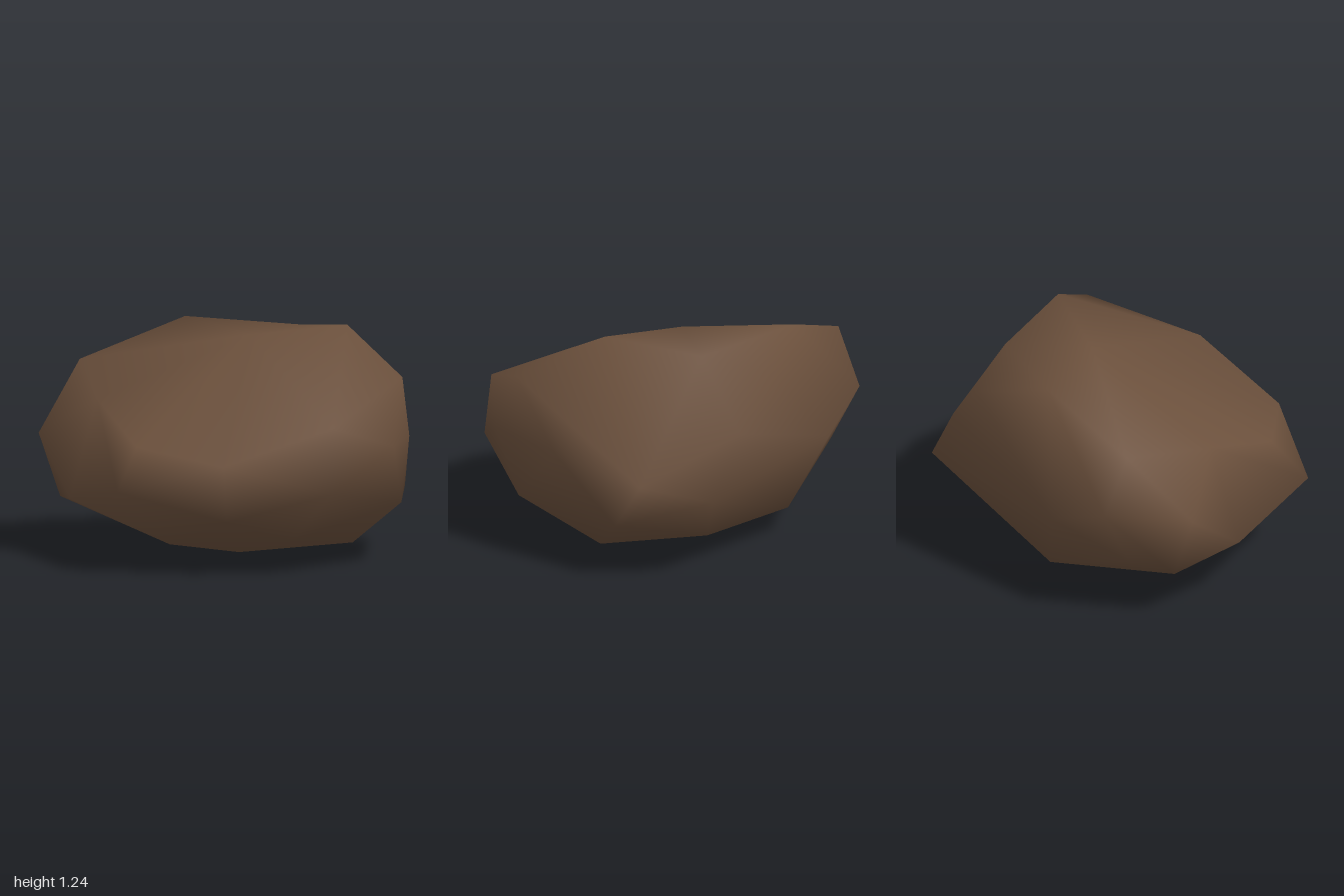
import * as THREE from 'three';
import { ConvexGeometry } from 'three/addons/geometries/ConvexGeometry.js';
import { mergeVertices } from 'three/addons/utils/BufferGeometryUtils.js';

// Corners of the boulder, from the base up
const base = [
  [0.04, 0, -0.06], [0.51, 0.06, 0.33], [-0.57, 0.12, 0.16],
  [-0.04, 0.14, 0.54], [0.12, 0.15, -0.65], [0.58, 0.15, -0.25],
];
const lowerRing = [
  [0.52, 0.33, 0.77], [0.93, 0.32, 0.22], [-0.56, 0.30, 0.68],
  [-0.86, 0.33, -0.36], [-0.42, 0.35, -0.84], [-0.65, 0.28, -0.75],
];
const girth = [
  [-0.10, 0.45, 1.0], [0.38, 0.66, 0.90], [0.72, 0.65, 0.56],
  [0.98, 0.56, 0.08], [0.96, 0.48, -0.31], [0.02, 0.53, -0.865],
  [-0.35, 0.68, -1.0], [-0.77, 0.63, -0.78], [-0.99, 0.45, 0.27],
  [-0.62, 0.61, 0.73],
];
const crown = [
  [-0.06, 0.80, 0.96], [0.52, 1.01, 0.78], [0.78, 0.81, -0.44],
  [0.56, 1.07, -0.62], [0.57, 1.17, -0.22], [0.49, 1.24, 0.31],
  [0.12, 1.17, -0.08], [0.12, 1.20, -0.68], [-0.43, 0.99, -0.88],
  [-0.69, 0.86, -0.35], [-0.81, 0.67, 0.19],
];
const centre = new THREE.Vector3(0, 0.62, 0);

// Skin the corners in a rounder space, then move them back,
// which leaves the shallow dip between the two top corners
function rockSkin(points) {
  const rounded = points.map((p) => {
    const v = new THREE.Vector3(...p).sub(centre);
    return v.divideScalar(Math.sqrt(v.length()));
  });
  let skin = new ConvexGeometry(rounded);
  skin.deleteAttribute('normal');
  skin = mergeVertices(skin, 1e-4);
  const position = skin.attributes.position;
  const v = new THREE.Vector3();
  for (let i = 0; i < position.count; i++) {
    v.fromBufferAttribute(position, i);
    v.multiplyScalar(v.length()).add(centre);
    position.setXYZ(i, v.x, v.y, v.z);
  }
  skin.computeVertexNormals();
  return skin;
}

export function createModel() {
  const group = new THREE.Group();
  group.name = 'rock';

  const stone = new THREE.MeshStandardMaterial({ color: 0x6b503c });
  stone.name = 'brown stone';

  const boulder = new THREE.Mesh(rockSkin([...base, ...lowerRing, ...girth, ...crown]), stone);
  boulder.name = 'boulder';
  group.add(boulder);
  return group;
}
